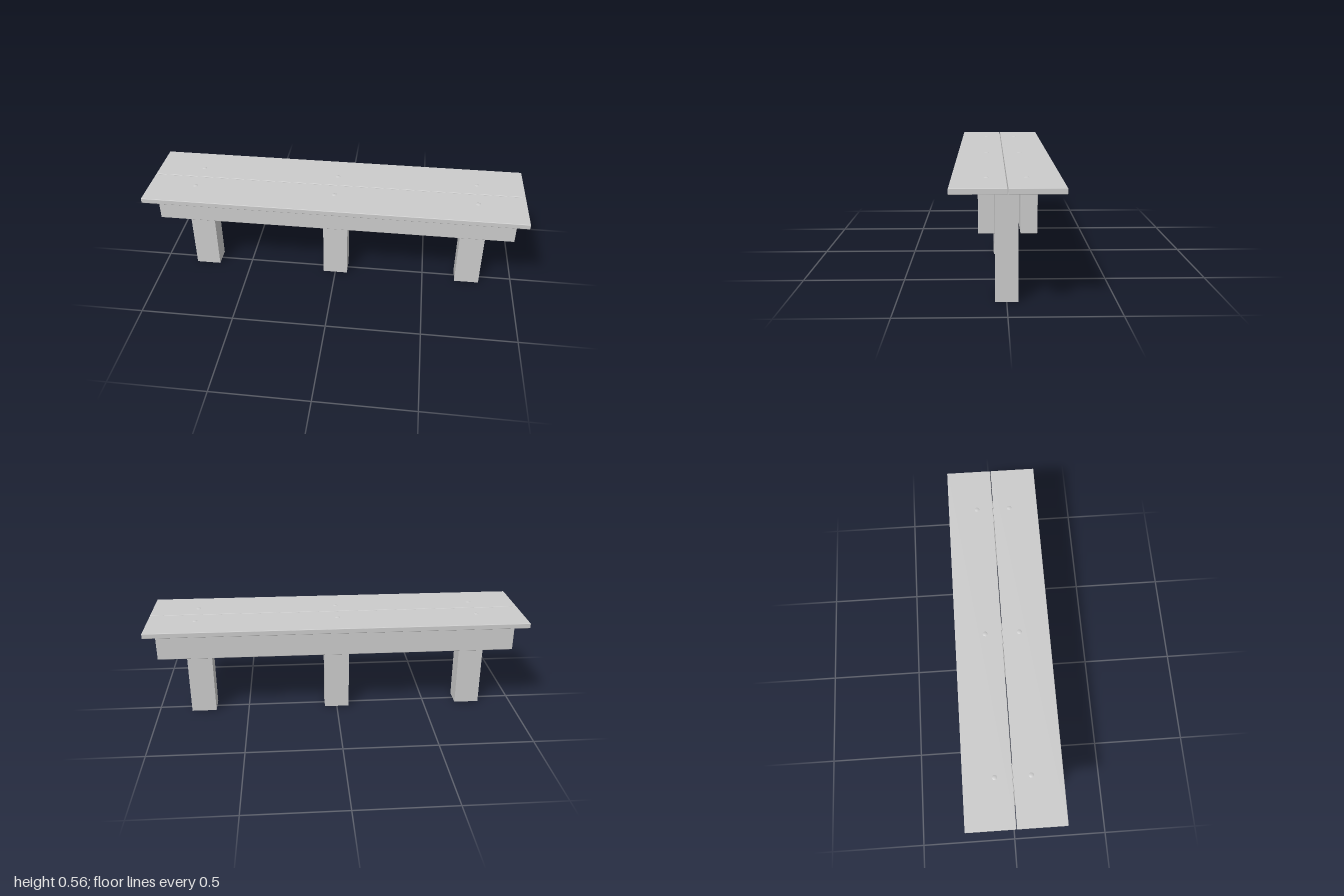
import * as THREE from 'three';
import { RoundedBoxGeometry } from 'three/addons/geometries/RoundedBoxGeometry.js';

const LEG_X = [-0.75, 0, 0.75];

export function createModel() {
  const group = new THREE.Group();
  const wood = new THREE.MeshStandardMaterial({ color: 0xcccccc });
  const openWood = new THREE.MeshStandardMaterial({ color: 0xcccccc, side: THREE.DoubleSide });

  const add = (name, geometry, x, y, z, material = wood) => {
    const mesh = new THREE.Mesh(geometry, material);
    mesh.name = name;
    mesh.position.set(x, y, z);
    group.add(mesh);
  };

  // Hollow posts, open at the foot: drop the bottom face of the box
  const legGeometry = new THREE.BoxGeometry(0.135, 0.535, 0.105);
  const index = Array.from(legGeometry.index.array);
  index.splice(18, 6);
  legGeometry.setIndex(index);
  legGeometry.clearGroups();

  // Shallow domed bolt head
  const headRadius = 0.013, headHeight = 0.003;
  const sphereRadius = (headRadius ** 2 + headHeight ** 2) / (2 * headHeight);
  const boltGeometry = new THREE.SphereGeometry(
    sphereRadius, 16, 4, 0, Math.PI * 2, 0, Math.asin(headRadius / sphereRadius));

  // Long timbers with softly eased edges
  const railGeometry = new RoundedBoxGeometry(1.92, 0.176, 0.072, 2, 0.003);
  const plankGeometry = new RoundedBoxGeometry(2, 0.027, 0.246, 2, 0.003);

  for (const x of LEG_X) add('leg', legGeometry, x, 0.2675, 0, openWood);

  // Front and back halves mirror each other
  for (const [side, s] of [['front', 1], ['back', -1]]) {
    add(`${side}Rail`, railGeometry, 0, 0.447, s * 0.0893);
    add(`${side}SeatPlank`, plankGeometry, 0, 0.5485, s * 0.1245);
    for (const x of LEG_X) {
      add(`${side}BoltHead`, boltGeometry, x, 0.562 + headHeight - sphereRadius, s * 0.09);
    }
  }

  return group;
}
